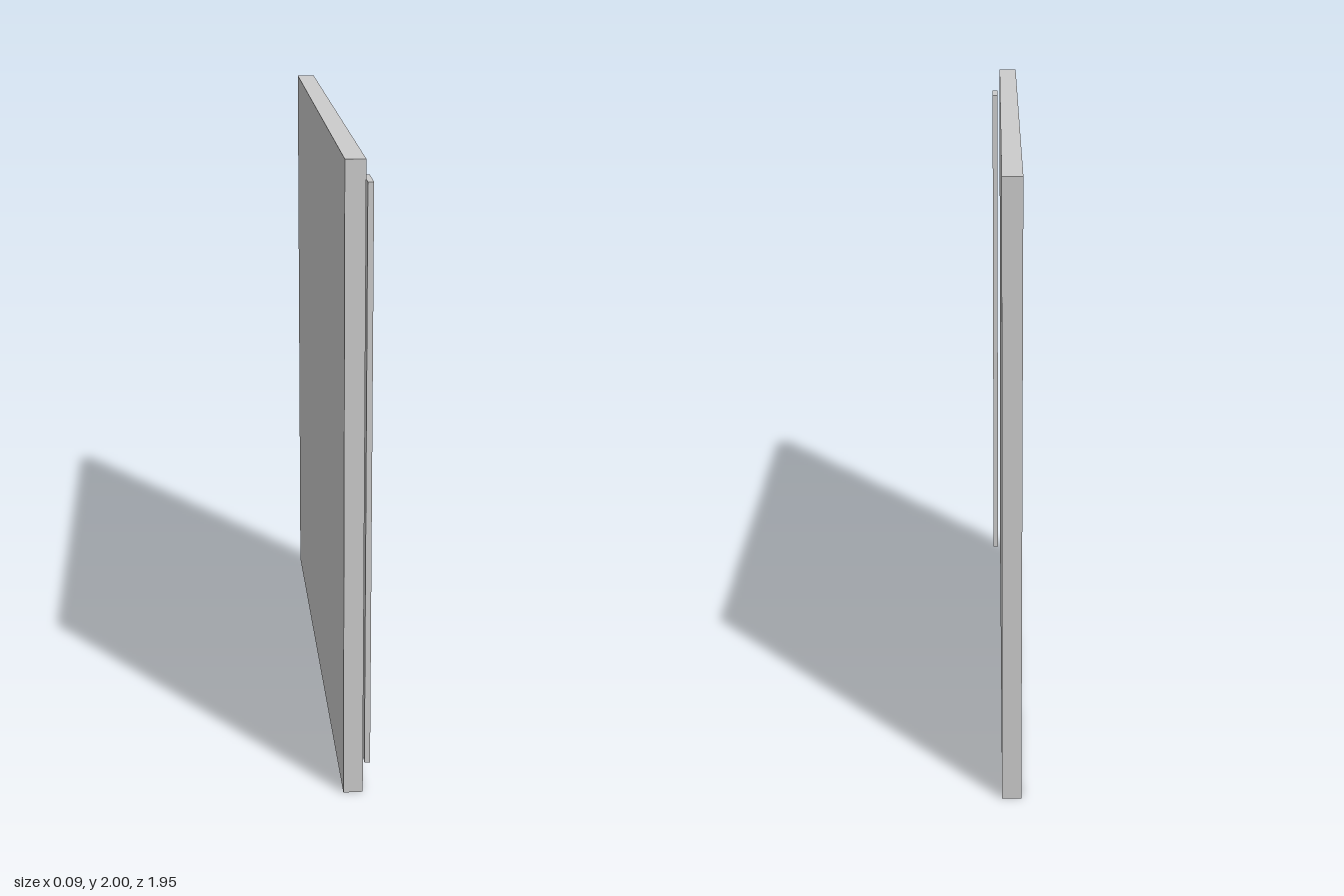
import * as THREE from 'three';

const material = new THREE.MeshStandardMaterial({ color: 0xcccccc, flatShading: true });

// Box given by its lower and upper corners
function slab(name, min, max) {
  const size = max.map((v, i) => v - min[i]);
  const mesh = new THREE.Mesh(new THREE.BoxGeometry(...size), material);
  mesh.position.set(...max.map((v, i) => (v + min[i]) / 2));
  mesh.name = name;
  return mesh;
}

export function createModel() {
  const group = new THREE.Group();
  group.name = 'doorPanel';

  // Flat upright panel
  group.add(slab('panel', [-0.044, 0, -0.975], [0.017, 2, 0.975]));

  // Thin full-height strip, held just off the panel's left face near the front edge
  group.add(slab('handleStrip', [0.026, 0.08, 0.817], [0.044, 1.927, 0.935]));

  return group;
}
